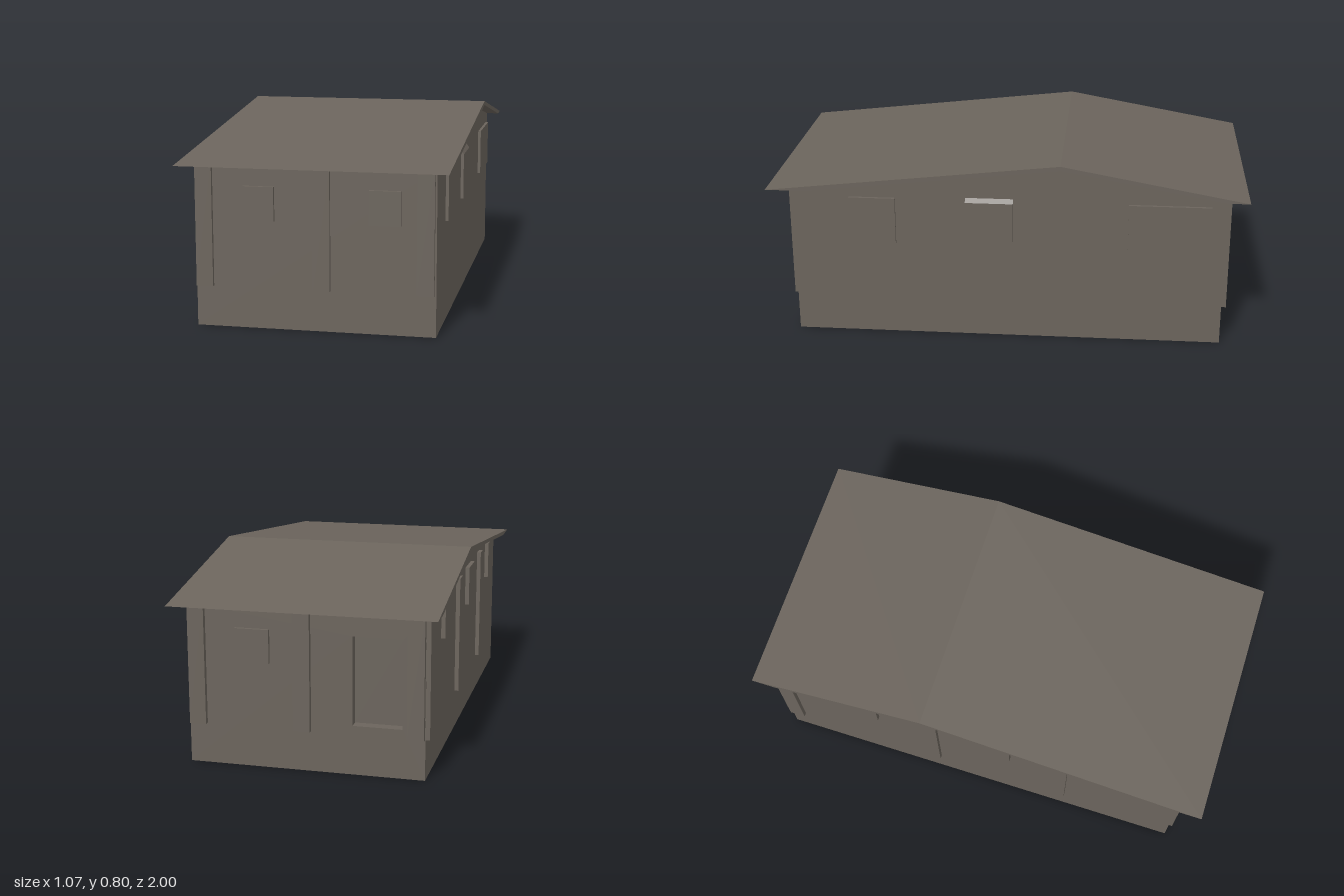
import * as THREE from 'three';

export function createModel() {
  const model = new THREE.Group();
  model.name = 'house';
  const stone = new THREE.MeshStandardMaterial({ color: 0x6b645c, side: THREE.DoubleSide });
  stone.name = 'stone grey';

  const add = (parent, name, geometry) => {
    const mesh = new THREE.Mesh(geometry, stone);
    mesh.name = name;
    parent.add(mesh);
    return mesh;
  };
  // Box given by its limits in a wall's own frame (u along, v up, w outward)
  const block = (parent, name, u0, u1, v0, v1, w0, w1) => {
    const mesh = add(parent, name, new THREE.BoxGeometry(u1 - u0, v1 - v0, w1 - w0));
    mesh.position.set((u0 + u1) / 2, (v0 + v1) / 2, (w0 + w1) / 2);
    return mesh;
  };
  const outline = (points) => new THREE.Shape(points.map(([x, y]) => new THREE.Vector2(x, y)));

  // Thin wall between two corners, with an optional ridge and doorway
  const wall = (name, [ax, az], [bx, bz], ridgeU, hole) => {
    const group = new THREE.Group();
    group.name = name;
    group.position.set(ax, 0, az);
    group.rotation.y = Math.atan2(az - bz, bx - ax);
    const length = Math.hypot(bx - ax, bz - az);
    const points = [[0, 0], [length, 0], [length, 0.66]];
    if (ridgeU) points.push([ridgeU, 0.786]);
    points.push([0, 0.66]);
    const shape = outline(points);
    if (hole) {
      const [u0, u1, v0, v1] = hole;
      shape.holes.push(new THREE.Path([[u0, v0], [u0, v1], [u1, v1], [u1, v0]]
        .map(([x, y]) => new THREE.Vector2(x, y))));
    }
    add(group, name + 'Panel', new THREE.ShapeGeometry(shape));
    model.add(group);
    return group;
  };

  const doorway = [0.67, 0.87, 0.2, 0.56];
  const corners = [[-0.48, 0.9], [0.48, 0.9], [0.48, -0.91], [-0.48, -0.92]];
  const front = wall('frontWall', corners[0], corners[1]);
  const leftSide = wall('leftWall', corners[1], corners[2], 1.128);
  const back = wall('backWall', corners[2], corners[3], 0, doorway);
  const rightSide = wall('rightWall', corners[3], corners[0], 0.692);

  // Pilasters, from the plinth up to the eaves
  const pilasters = (parent, starts, depth) => starts.forEach((u) =>
    block(parent, 'pilaster', u, u + 0.068, 0.165, 0.66, 0, depth));
  pilasters(front, [0.002, 0.475, 0.885], 0.015);
  pilasters(back, [0.005, 0.435, 0.89], 0.02);
  pilasters(rightSide, [0.002, 0.67, 1.26], 0.0175);

  // Raised window panels
  const windows = (parent, spans, v0, v1, depth) => spans.map(([u0, u1]) =>
    block(parent, 'window', u0, u1, v0, v1, 0, depth));
  windows(front, [[0.195, 0.32], [0.697, 0.822]], 0.435, 0.572, 0.014);
  windows(back, [[0.197, 0.337]], 0.43, 0.567, 0.014);
  windows(rightSide, [[0.315, 0.465], [0.92, 1.07], [1.515, 1.665]], 0.49, 0.657, 0.0175);
  const sideWindows = windows(leftSide,
    [[0.24, 0.435], [0.73, 0.93], [1.41, 1.75]], 0.413, 0.617, 0.0125);

  // The middle side window has a sloping top
  const middle = sideWindows[1].geometry;
  const p = middle.attributes.position;
  for (let i = 0; i < p.count; i++) {
    if (p.getY(i) > 0) p.setY(i, p.getY(i) + (p.getZ(i) > 0 ? -0.009 : 0.009));
  }
  middle.computeVertexNormals();

  // Recessed door with its reveals
  const [u0, u1, v0, v1] = doorway;
  const depth = 0.045, t = 0.004;
  block(back, 'door', u0, u1, v0, v1, -depth - t, -depth);
  block(back, 'doorSill', u0, u1, v0 - t, v0, -depth, -0.001);
  block(back, 'doorLintel', u0, u1, v1, v1 + t, -depth, -0.001);
  block(back, 'doorJamb', u0 - t, u0, v0, v1, -depth, -0.001);
  block(back, 'doorJamb', u1, u1 + t, v0, v1, -depth, -0.001);

  // Roof: a folded slab with tapered eaves, extruded across the house
  const halfWidth = 0.537;
  const roofShape = outline([
    [-1, 0.657], [-0.84, 0.657], [0.228, 0.777], [0.9, 0.657], [1, 0.657], [0.228, 0.795],
  ]);
  const roofGeometry = new THREE.ExtrudeGeometry(roofShape, { depth: 2 * halfWidth, bevelEnabled: false });
  roofGeometry.translate(0, 0, -halfWidth);
  roofGeometry.rotateY(Math.PI / 2);
  add(model, 'roof', roofGeometry);

  return model;
}
